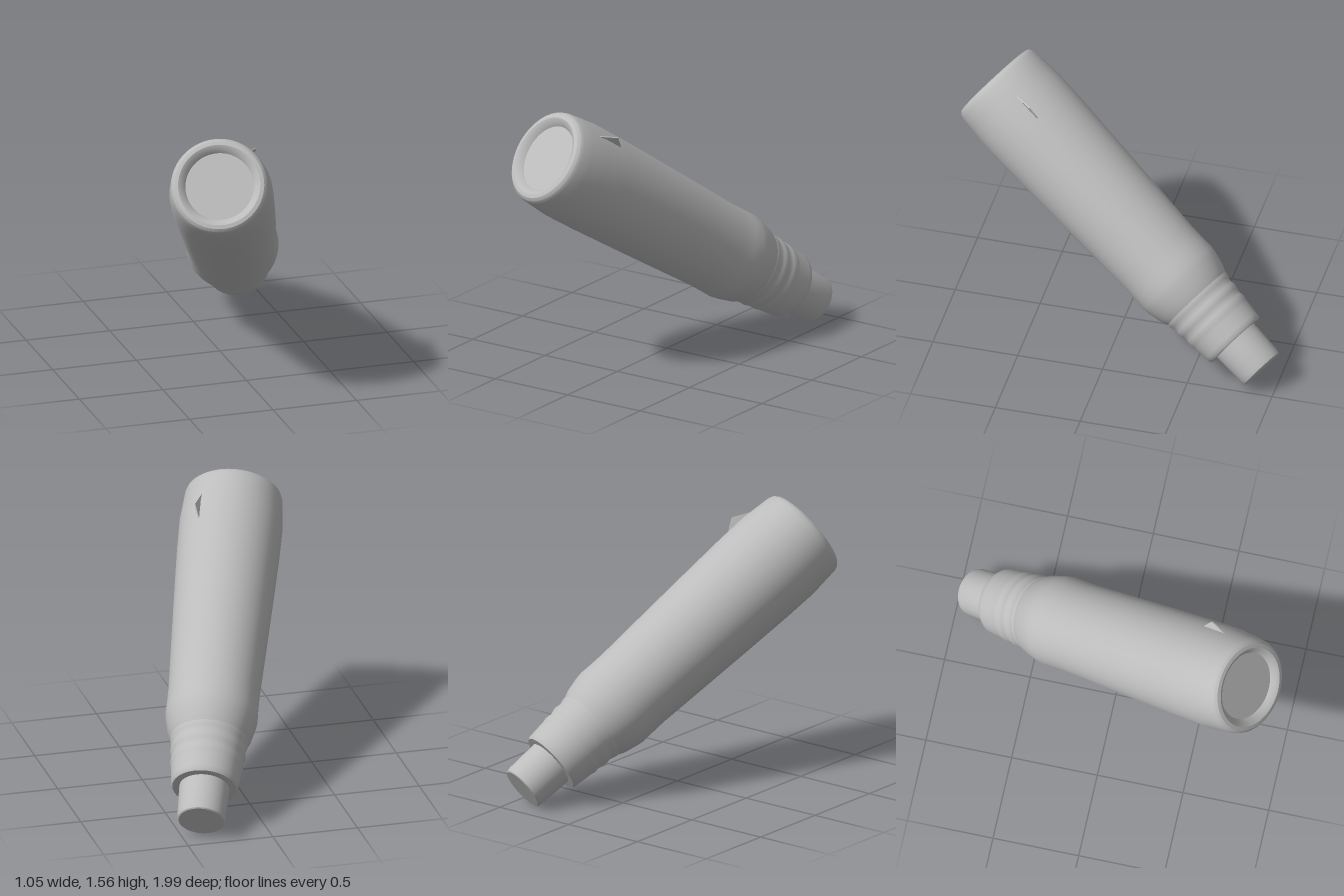
import * as THREE from 'three';
import { toCreasedNormals } from 'three/addons/utils/BufferGeometryUtils.js';

export function createModel() {
  const model = new THREE.Group();
  model.name = 'tiltedBottle';
  const grey = new THREE.MeshStandardMaterial({ color: 0xbcbcbc });
  grey.name = 'plain grey';

  // The bottle is turned around local y, then laid along its slanted axis
  const base = new THREE.Vector3(-0.265, 1.336, 0.825);
  const tip = new THREE.Vector3(0.402, 0.113, -0.916);
  const axis = tip.clone().sub(base);
  const length = axis.length();
  const bottle = new THREE.Group();
  bottle.name = 'bottle';
  bottle.position.copy(base);
  bottle.quaternion.setFromUnitVectors(new THREE.Vector3(0, 1, 0), axis.normalize());
  model.add(bottle);

  // Profiles are lists of [radius, distance from base]
  function turned(name, profile) {
    const points = profile.map(([r, y]) => new THREE.Vector2(r, y));
    const mesh = new THREE.Mesh(toCreasedNormals(new THREE.LatheGeometry(points, 64), 0.5), grey);
    mesh.name = name;
    bottle.add(mesh);
  }

  // Body with recessed base, rounded rim and sloping shoulder
  turned('body', [
    [0, 0.015], [0.195, 0.015], [0.215, -0.012], [0.235, -0.022], [0.257, -0.018],
    [0.272, -0.004], [0.28, 0.02], [0.286, 0.09], [0.295, 0.2], [0.293, 0.4],
    [0.284, 0.7], [0.272, 1.05], [0.261, 1.35], [0.262, 1.46], [0.264, 1.52],
    [0.258, 1.56], [0.24, 1.64], [0.222, 1.68], [0.2, 1.69],
  ]);

  // Collar with shallow thread rings
  const collar = [[0.215, 1.64]];
  for (let i = 0; i <= 16; i++) {
    const ridge = i < 10 ? 0.004 * Math.sin(i * Math.PI / 2) : 0;
    collar.push([0.221 - 0.0018 * i + ridge, 1.67 + 0.02 * i]);
  }
  collar.push([0.183, 2.005], [0.12, 2.005]);
  turned('collar', collar);

  // Narrow nozzle with flat tip
  turned('nozzle', [
    [0.144, 1.98], [0.142, 2.06], [0.138, length - 0.03], [0.133, length - 0.005],
    [0.126, length], [0, length],
  ]);

  // Small loose flap lifting off the side near the base
  const out = new THREE.Vector3(0.688, 0.691, -0.22)
    .applyQuaternion(bottle.quaternion.clone().invert());
  const outline = new THREE.Shape();
  outline.moveTo(0.28, 0.13);
  outline.lineTo(0.28, 0.34);
  outline.lineTo(0.315, 0.29);
  outline.lineTo(0.34, 0.25);
  outline.closePath();
  const flap = new THREE.Mesh(
    new THREE.ExtrudeGeometry(outline, { depth: 0.008, bevelEnabled: false }), grey);
  flap.name = 'looseFlap';
  flap.rotation.y = Math.atan2(-out.z, out.x);
  bottle.add(flap);

  return model;
}
